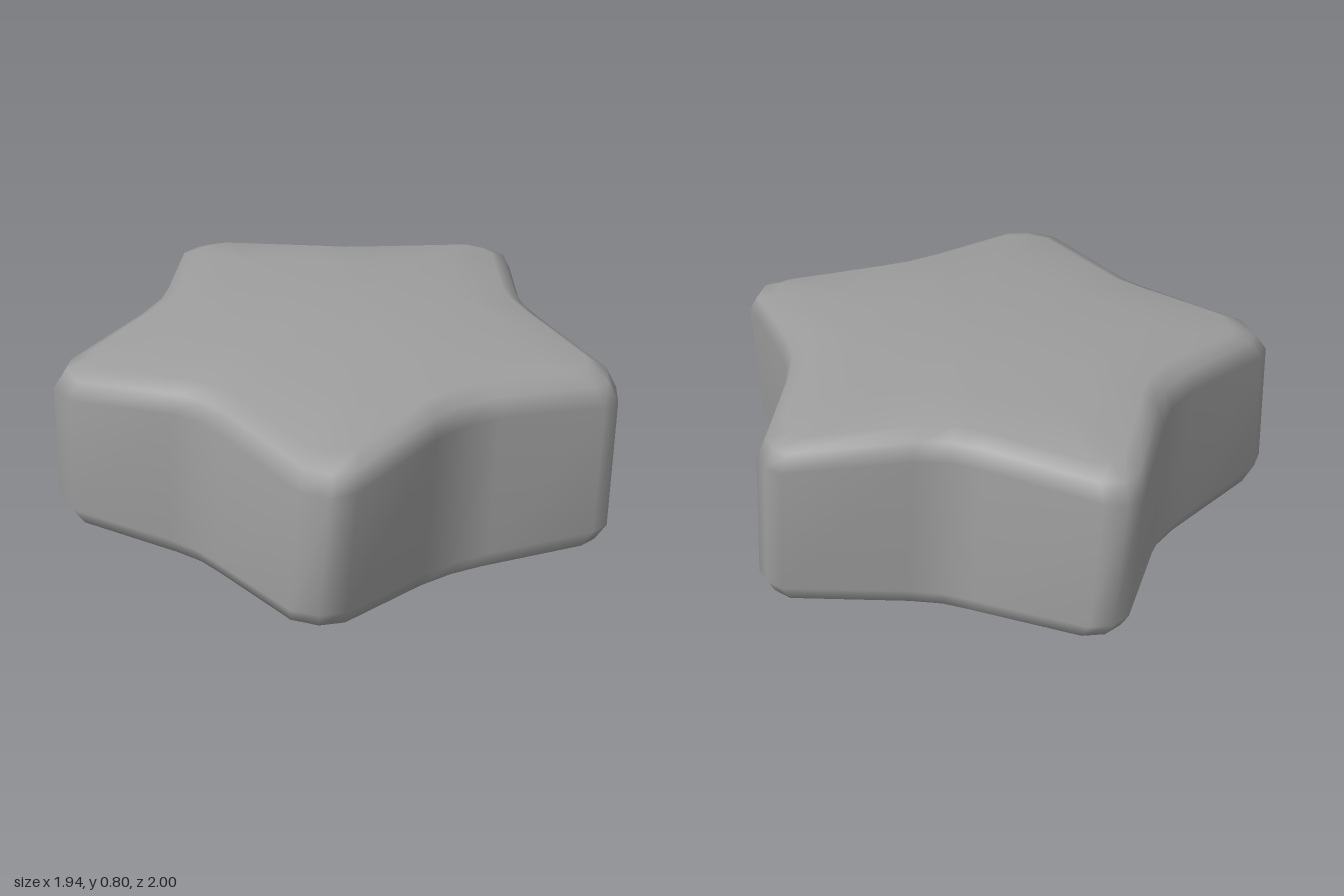
import * as THREE from 'three';

// Star outline as [x, z], counter-clockwise seen from above:
// three points per tip, then three per notch
const star = [
  [0.95, 0.05], [0.967, -0.02], [0.95, -0.09],
  [0.605, -0.36], [0.52, -0.45], [0.465, -0.55],
  [0.285, -0.945], [0.22, -0.995], [0.14, -0.99],
  [-0.2, -0.757], [-0.3, -0.703], [-0.44, -0.669],
  [-0.85, -0.64], [-0.92, -0.6], [-0.96, -0.49],
  [-0.848, -0.11], [-0.832, 0], [-0.847, 0.12],
  [-0.935, 0.54], [-0.9, 0.64], [-0.82, 0.69],
  [-0.42, 0.7], [-0.28, 0.728], [-0.165, 0.778],
  [0.17, 0.985], [0.24, 0.995], [0.33, 0.93],
  [0.48, 0.535], [0.54, 0.42], [0.625, 0.325],
];

// Gently domed and slightly tilted faces
const topY = (x, z) => 0.805 - 0.08 * (x * x + z * z) - 0.025 * z + 0.015 * x;
const bottomY = (x, z) => 0.003 + 0.078 * (x * x + z * z) - 0.015 * z;

// Rings from the bottom centre to the top centre: scale, inset from the face, side
const half = [[0.3, 0], [0.6, 0], [0.88, 0], [0.96, 0.035], [1, 0.1]];
const rings = [
  ...half.map(([k, d]) => [k, d, false]),
  ...half.slice().reverse().map(([k, d]) => [k, d, true]),
];

function starGeometry() {
  const positions = [];
  const index = [];
  const n = star.length;

  for (const [k, inset, top] of rings) {
    for (const [px, pz] of star) {
      const f = Math.min(k, 0.88);
      const y = top ? topY(px * f, pz * f) - inset : bottomY(px * f, pz * f) + inset;
      // slight twist between the bottom and the top
      const twist = (y - 0.4) * 0.08;
      positions.push(k * (px + twist * pz), y, k * (pz - twist * px));
    }
  }
  const bottomCentre = positions.length / 3;
  positions.push(0, bottomY(0, 0), 0, 0, topY(0, 0), 0);

  for (let j = 0; j < n; j++) {
    const next = (j + 1) % n;
    for (let i = 0; i < rings.length - 1; i++) {
      const a = i * n + j, b = i * n + next;
      index.push(a, b, b + n, a, b + n, a + n);
    }
    const last = (rings.length - 1) * n;
    index.push(bottomCentre, next, j, bottomCentre + 1, last + j, last + next);
  }

  const geometry = new THREE.BufferGeometry();
  geometry.setAttribute('position', new THREE.Float32BufferAttribute(positions, 3));
  geometry.setIndex(index);
  geometry.computeVertexNormals();
  return geometry;
}

export function createModel() {
  const group = new THREE.Group();
  group.name = 'roundedStar';
  const body = new THREE.Mesh(starGeometry(), new THREE.MeshStandardMaterial({ color: 0x9e9e9e }));
  body.name = 'starBody';
  group.add(body);
  return group;
}
